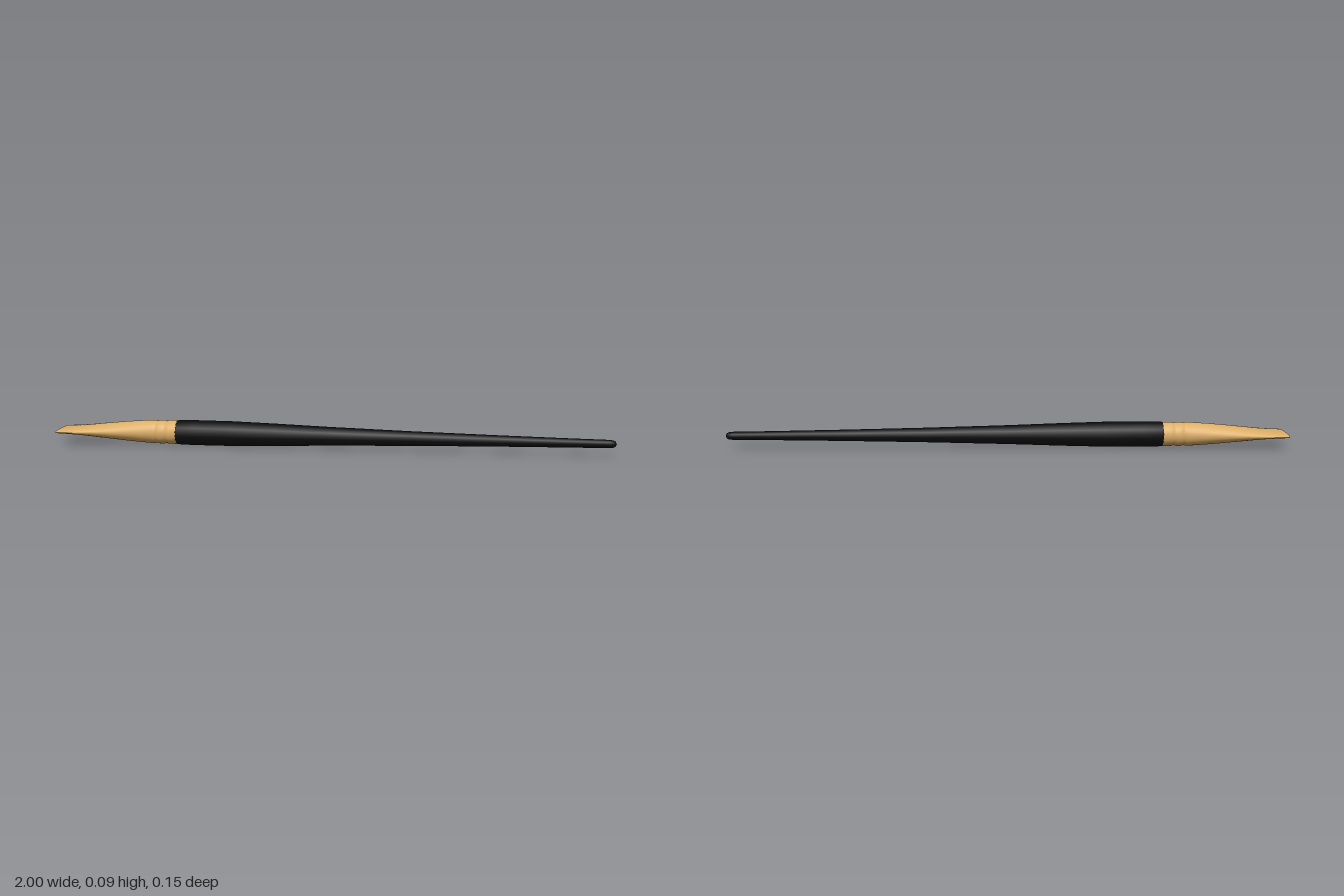
import * as THREE from 'three';

const AXIS_Y = 0.046;

// Skins elliptical rings [x, halfHeight, halfWidth] strung along the x axis
function loft(name, rings, sides, material) {
  const pos = [], index = [];
  for (const [x, h, w] of rings) {
    for (let j = 0; j < sides; j++) {
      const a = (j / sides) * Math.PI * 2;
      pos.push(x, AXIS_Y + h * Math.cos(a), w * Math.sin(a));
    }
  }
  for (let i = 0; i < rings.length - 1; i++) {
    for (let j = 0; j < sides; j++) {
      const k = (j + 1) % sides;
      const a = i * sides + j, b = i * sides + k;
      index.push(a, b, a + sides, b, b + sides, a + sides);
    }
  }
  const geo = new THREE.BufferGeometry();
  geo.setAttribute('position', new THREE.Float32BufferAttribute(pos, 3));
  geo.setIndex(index);
  geo.computeVertexNormals();
  const mesh = new THREE.Mesh(geo, material);
  mesh.name = name;
  return mesh;
}

export function createModel() {
  const group = new THREE.Group();
  group.name = 'paintbrush';
  const black = new THREE.MeshStandardMaterial({ color: 0x0d0d0d });
  const brass = new THREE.MeshStandardMaterial({ color: 0xdcae68 });

  // Handle: long taper with a softly rounded tip
  const round = ([x, r]) => [x, r, r];
  const handle = [
    [-0.562, 0], [-0.562, 0.042], [-0.555, 0.0445], [-0.5, 0.046], [-0.36, 0.0455],
    [-0.2, 0.041], [0, 0.034], [0.3, 0.026], [0.6, 0.02], [0.85, 0.016],
    [0.975, 0.0145], [0.988, 0.013], [0.996, 0.009], [1, 0],
  ].map(round);
  group.add(loft('handle', handle, 18, black));

  // Ferrule: round at the handle, flared and flattened at the mouth
  const flare = [
    [-1, 0.008, 0.0745], [-0.97, 0.0105, 0.0735], [-0.94, 0.0135, 0.071],
    [-0.9, 0.018, 0.0665], [-0.85, 0.0245, 0.0615], [-0.8, 0.03, 0.057],
    [-0.74, 0.036, 0.0505], [-0.69, 0.04, 0.046], [-0.65, 0.0425, 0.0435],
  ];
  // Crimped grooves next to the handle
  const crimps = [];
  for (const x of [-0.635, -0.6]) {
    for (const [dx, r] of [[-0.008, 0.0428], [-0.003, 0.0405], [0.003, 0.0405], [0.008, 0.0428], [0.016, 0.0432]]) {
      crimps.push(round([x + dx, r]));
    }
  }
  group.add(loft('ferrule', [...flare, ...crimps, round([-0.558, 0.043])], 36, brass));

  // Rolled lip and the dark hollow inside the mouth
  const wall = 0.0025;
  const inner = flare.slice(0, 6).map(([x, h, w]) => [x, h - wall, w - wall]);
  group.add(loft('ferruleLip', [inner[0], flare[0]], 36, brass));
  const bore = inner.reverse();
  group.add(loft('ferruleBore', [[bore[0][0], 0, 0], ...bore], 36, black));

  return group;
}
